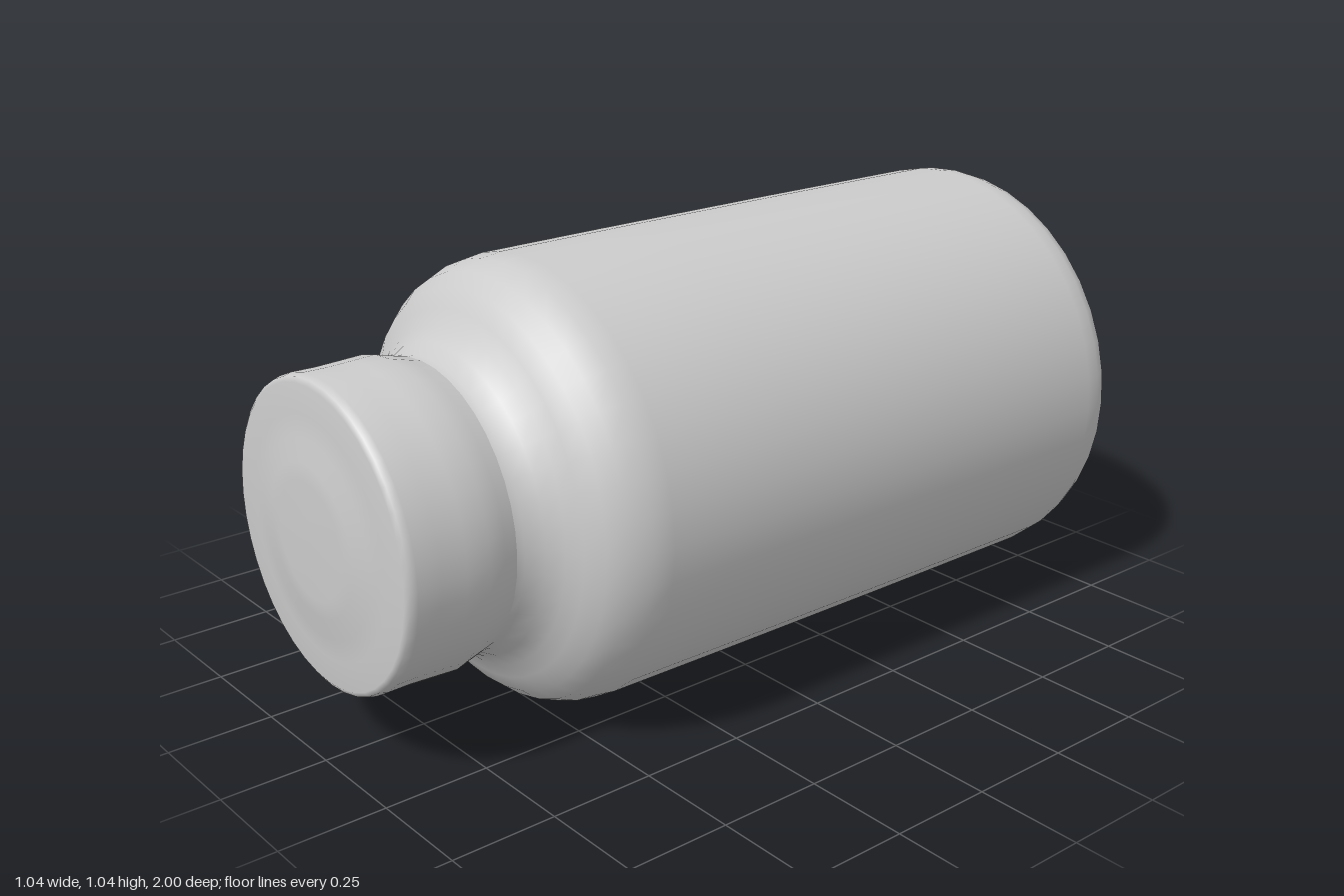
import * as THREE from 'three';

const material = new THREE.MeshStandardMaterial({ color: 0xcccccc, side: THREE.DoubleSide });

// Turned part from [radius, position along the bottle] pairs
function turned(name, profile) {
  const points = profile.map(([r, z]) => new THREE.Vector2(r, z));
  const mesh = new THREE.Mesh(new THREE.LatheGeometry(points, 40), material);
  mesh.name = name;
  return mesh;
}

export function createModel() {
  const bottle = new THREE.Group();
  bottle.name = 'bottle';

  // Hollowed base with a small centre dimple, straight wall, rounded shoulder, neck
  bottle.add(turned('body', [
    [0, -0.93], [0.03, -0.955], [0.1, -0.955], [0.25, -0.965], [0.36, -0.98],
    [0.41, -0.996], [0.45, -1], [0.48, -0.99], [0.505, -0.97], [0.515, -0.94], [0.519, -0.9],
    [0.52, -0.4], [0.519, 0.1], [0.517, 0.44], [0.51, 0.49], [0.49, 0.54],
    [0.46, 0.575], [0.42, 0.602], [0.385, 0.622], [0.355, 0.652], [0.335, 0.69], [0.333, 0.715],
  ]));

  // Cap with a flared lower rim and a slightly raised top
  bottle.add(turned('cap', [
    [0.333, 0.705], [0.342, 0.74], [0.354, 0.785], [0.352, 0.84], [0.35, 0.9],
    [0.351, 0.955], [0.346, 0.972], [0.335, 0.979], [0.27, 0.981], [0.22, 0.986],
    [0.17, 0.996], [0.13, 0.999], [0, 1],
  ]));

  // Lay the bottle down with the cap facing forward
  bottle.rotation.x = Math.PI / 2;
  bottle.position.y = 0.523;

  const model = new THREE.Group();
  model.add(bottle);
  return model;
}
